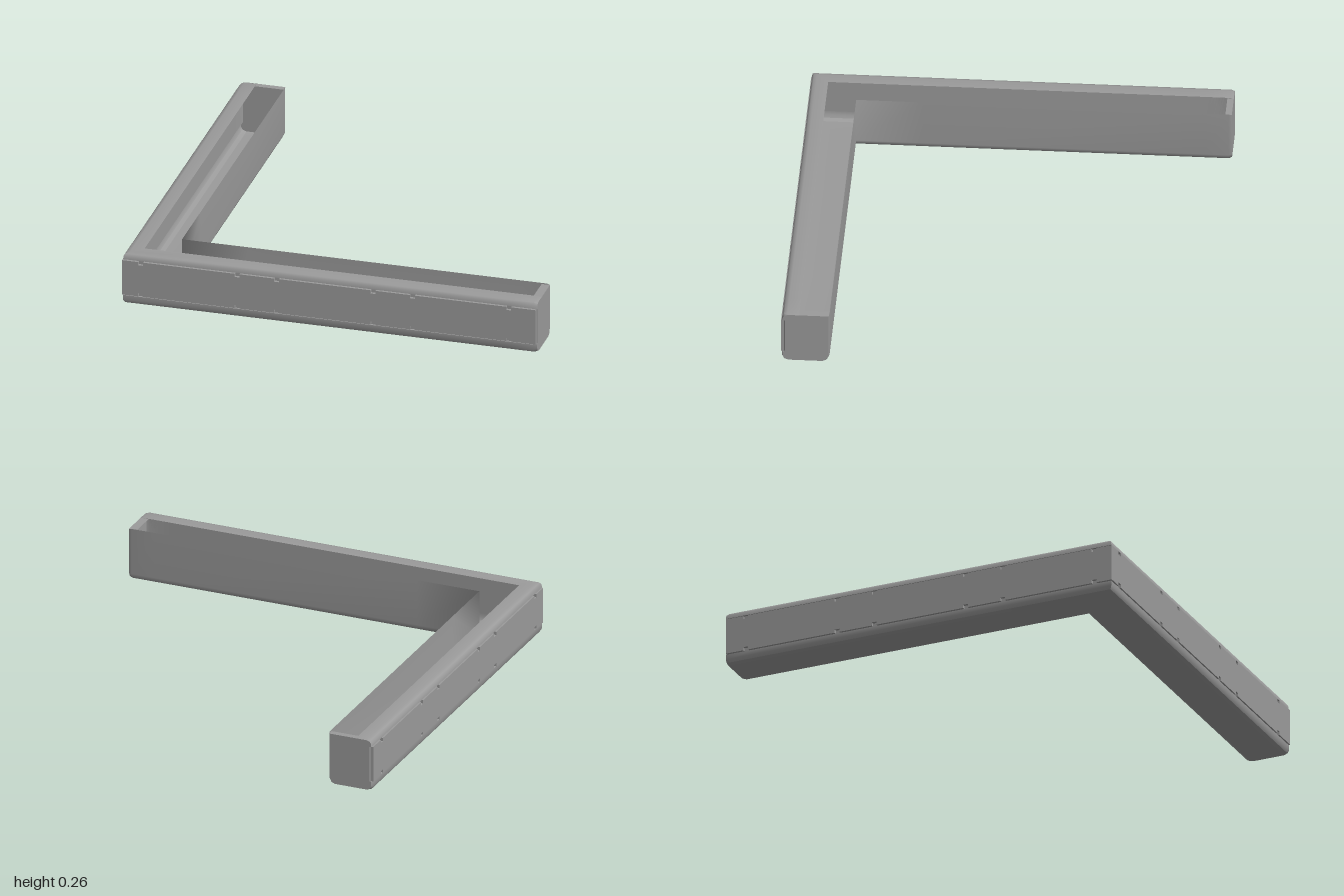
import * as THREE from 'three';
import { toCreasedNormals } from 'three/addons/utils/BufferGeometryUtils.js';

const material = new THREE.MeshStandardMaterial({ color: 0x9b9b9b, side: THREE.DoubleSide });
const HALF_Z = 0.985;   // the arms meet at x = -1, z = HALF_Z
const WIDTH = 0.225, HEIGHT = 0.26;

// Cross-sections as [inset from the outer face, height]
const OUTER = [
  [0.085, 0.258], [0.03, 0.26], [0.014, 0.256], [0.006, 0.246], [0.004, 0.229],
  [0.014, 0.229], [0.014, 0.046], [0.004, 0.046], [0.004, 0.022], [0.012, 0.007], [0.032, 0],
];
const INNER = [[0.032, 0], [0.195, 0], [0.213, 0.007], [WIDTH, 0.032], [WIDTH, HEIGHT]];

// Slightly shrunk section for the softened ends
const inset = ([t, y]) => [
  WIDTH / 2 + (t - WIDTH / 2) * 0.96,
  y > 0.2 ? y - 0.004 : HEIGHT / 2 + (y - HEIGHT / 2) * 0.96,
];

// Places section points at stations along the mitred L
const onBackArm = (z) => ([t, y]) => [-1 + t, y, z];
const onSideArm = (x) => ([t, y]) => [x, y, HALF_Z - t];
const onCorner = ([t, y]) => [-1 + t, y, HALF_Z - t];

const sweep = (section) => [
  section.map(inset).map(onBackArm(-HALF_Z)),
  ...[-0.97, -0.85, 0.45].map((z) => section.map(onBackArm(z))),
  section.map(onCorner),
  ...[-0.46, 0.87, 0.985].map((x) => section.map(onSideArm(x))),
  section.map(inset).map(onSideArm(1)),
];

function surface(rows) {
  const positions = [], indices = [], n = rows[0].length;
  rows.forEach((row) => row.forEach((p) => positions.push(...p)));
  for (let i = 0; i < rows.length - 1; i++) {
    for (let j = 0; j < n - 1; j++) {
      const a = i * n + j, b = a + n;
      indices.push(a, a + 1, b, a + 1, b + 1, b);
    }
  }
  const geometry = new THREE.BufferGeometry();
  geometry.setAttribute('position', new THREE.Float32BufferAttribute(positions, 3));
  geometry.setIndex(indices);
  geometry.computeVertexNormals();
  return geometry;
}

function addMesh(group, name, geometry) {
  const mesh = new THREE.Mesh(geometry, material);
  mesh.name = name;
  group.add(mesh);
  return mesh;
}

// Facing strip with small clip notches along both long edges
function facingGeometry(length) {
  const low = 0.05, high = 0.225, half = 0.012, deep = 0.016;
  const notches = [0.09, 0.555, 0.745, 1.21, 1.4, 1.865];
  const shape = new THREE.Shape();
  shape.moveTo(0, low);
  for (const d of notches) {
    shape.lineTo(d - half, low);
    shape.lineTo(d - half, low + deep);
    shape.lineTo(d + half, low + deep);
    shape.lineTo(d + half, low);
  }
  shape.lineTo(length, low);
  shape.lineTo(length, high);
  for (const d of [...notches].reverse()) {
    shape.lineTo(d + half, high);
    shape.lineTo(d + half, high - deep);
    shape.lineTo(d - half, high - deep);
    shape.lineTo(d - half, high);
  }
  shape.lineTo(0, high);
  return new THREE.ExtrudeGeometry(shape, { depth: 0.014, bevelEnabled: false });
}

export function createModel() {
  const group = new THREE.Group();
  group.name = 'cornerTrough';

  // Open trough swept along the L: crisp outer wall, soft floor and inner wall
  addMesh(group, 'outerWallAndLip', toCreasedNormals(surface(sweep(OUTER)), 0.7));
  addMesh(group, 'floorAndInnerWall', surface(sweep(INNER)));

  // Flat end walls
  const section = [...OUTER.slice(1), ...INNER.slice(1)].map(inset);
  const outline = new THREE.Shape(section.map(([t, y]) => new THREE.Vector2(t, y)));
  const backEnd = addMesh(group, 'backEndWall', new THREE.ShapeGeometry(outline));
  backEnd.position.set(-1, 0, -HALF_Z);
  const sideEnd = addMesh(group, 'sideEndWall', new THREE.ShapeGeometry(outline));
  sideEnd.rotation.y = Math.PI / 2;
  sideEnd.position.set(1, 0, HALF_Z);

  // Narrow lips along the top of the end walls
  const span = [[0.222, 0.256], [0.085, 0.256]];
  addMesh(group, 'backEndLip', surface([
    span.map(onBackArm(-0.955)), span.map(onBackArm(-HALF_Z)),
  ]));
  addMesh(group, 'sideEndLip', surface([
    span.map(onSideArm(1)), span.map(onSideArm(0.96)),
  ]));

  // Notched facing strips on the two outer walls
  const front = addMesh(group, 'frontFacing', facingGeometry(1.995));
  front.position.set(-1, 0, HALF_Z - 0.014);
  const side = addMesh(group, 'sideFacing', facingGeometry(1.965));
  side.rotation.y = Math.PI / 2;
  side.position.set(-1, 0, HALF_Z);

  return group;
}
